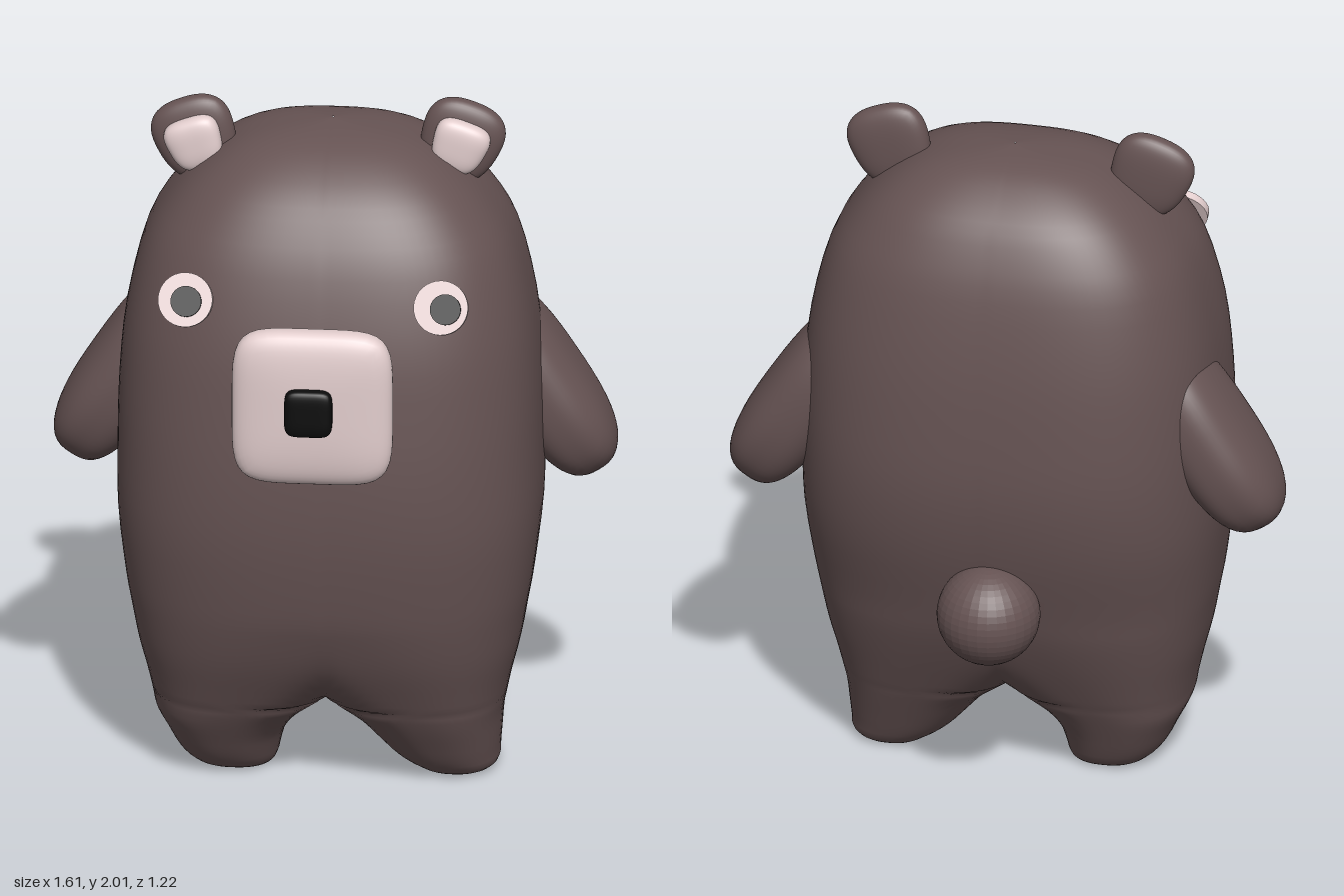
import * as THREE from 'three';
import { mergeVertices } from 'three/addons/utils/BufferGeometryUtils.js';

const fur = new THREE.MeshStandardMaterial({ color: 0x665353 });
const tailFur = new THREE.MeshStandardMaterial({ color: 0x665353, flatShading: true });
const pink = new THREE.MeshStandardMaterial({ color: 0xe2cdcd });
const black = new THREE.MeshStandardMaterial({ color: 0x0c0c0c });

// Body levels: y, front z, back z, outer x and inner x of the +x half.
// Above the crotch the inner x is negative, so the two halves fuse at x = 0.
const upper = [
  [0.23, 0.30, -0.245, 0.505, 0], [0.3, 0.335, -0.28, 0.52, -0.1],
  [0.4, 0.385, -0.33, 0.545, -0.27], [0.5, 0.425, -0.375, 0.563, -0.43],
  [0.6, 0.455, -0.41, 0.58, -0.58], [0.8, 0.485, -0.47, 0.603, -0.603],
  [1.0, 0.49, -0.5, 0.605, -0.605], [1.2, 0.475, -0.495, 0.6, -0.6],
  [1.4, 0.448, -0.475, 0.58, -0.58], [1.6, 0.39, -0.435, 0.53, -0.53],
  [1.72, 0.33, -0.39, 0.46, -0.46], [1.81, 0.26, -0.335, 0.375, -0.375],
  [1.88, 0.16, -0.25, 0.27, -0.27], [1.915, 0.06, -0.17, 0.15, -0.15],
  [1.93, -0.055, -0.06, 0.002, -0.002],
];
const depths = [[0, 0.012, 0.01], [0, 0.12, -0.1], [0.02, 0.165, -0.135],
  [0.06, 0.2, -0.16], [0.12, 0.237, -0.19], [0.18, 0.273, -0.22]];
const leftLeg = [[0.37, 0.366], [0.44, 0.28], [0.48, 0.235], [0.485, 0.18], [0.49, 0.125], [0.495, 0.07]];
const rightLeg = [[0.26, 0.256], [0.36, 0.17], [0.40, 0.15], [0.435, 0.14], [0.465, 0.12], [0.495, 0.07]];

function smoothRows(rows, sub) {
  const out = [];
  const at = k => rows[Math.min(Math.max(k, 0), rows.length - 1)];
  for (let k = 0; k < rows.length - 1; k++) {
    for (let j = 0; j < sub; j++) {
      const t = j / sub;
      out.push(at(k).map((b, c) => {
        const a = at(k - 1)[c], d = at(k + 1)[c], e = at(k + 2)[c];
        return b + 0.5 * t * (d - a + t * (2 * a - 5 * b + 4 * d - e + t * (3 * (b - d) + e - a)));
      }));
    }
  }
  out.push(rows[rows.length - 1]);
  return out;
}

function bodyGeometry() {
  const pos = [], idx = [], cols = 56;
  for (const [side, leg] of [[1, leftLeg], [-1, rightLeg]]) {
    const rows = smoothRows([...depths.map((r, i) => [...r, ...leg[i]]), ...upper], 3);
    const base = pos.length / 3;
    rows.forEach(([y, zf, zb, xo, xi], r) => {
      const n = 2.4 + 0.4 * Math.min(1, y / 0.6);
      const cx = (xo + xi) / 2, w = (xo - xi) / 2, cz = (zf + zb) / 2, d = (zf - zb) / 2;
      const q = Math.min(1, cx / w);
      // sweep only as far as the plane x = 0 where the halves are fused
      const end = Math.atan2(Math.pow(1 - Math.pow(Math.abs(q), n), 1 / n), -q);
      for (let i = 0; i <= cols; i++) {
        const a = end * (2 * i / cols - 1), c = Math.cos(a), s = Math.sin(a);
        const k = Math.pow(Math.abs(c) ** n + Math.abs(s) ** n, -1 / n);
        let x = cx + w * k * c;
        if (Math.abs(x) < 1e-5) x = 0;
        pos.push(side * x, Math.max(0, y), cz + d * k * s);
        if (r < rows.length - 1 && i < cols) {
          const p = base + r * (cols + 1) + i, u = p + cols + 1;
          if (side > 0) idx.push(p, u, p + 1, p + 1, u, u + 1);
          else idx.push(p, p + 1, u, p + 1, u + 1, u);
        }
      }
    });
  }
  const g = new THREE.BufferGeometry();
  g.setAttribute('position', new THREE.Float32BufferAttribute(pos, 3));
  g.setIndex(idx);
  const merged = mergeVertices(g, 1e-4);
  merged.computeVertexNormals();
  return merged;
}

// Rounded pad: n squares off the front outline, m the thickness, taper widens the top
function pad(w, h, d, n, m, taper = 0) {
  const g0 = new THREE.BoxGeometry(2, 2, 2, 14, 14, 14);
  g0.deleteAttribute('uv');
  g0.deleteAttribute('normal');
  const g = mergeVertices(g0), p = g.attributes.position, v = new THREE.Vector3();
  for (let i = 0; i < p.count; i++) {
    v.fromBufferAttribute(p, i);
    const f = (Math.abs(v.x) ** n + Math.abs(v.y) ** n) ** (m / n) + Math.abs(v.z) ** m;
    v.multiplyScalar(f ** (-1 / m));
    p.setXYZ(i, v.x * w / 2 * (1 + taper * v.y), v.y * h / 2, v.z * d / 2);
  }
  g.computeVertexNormals();
  return g;
}

export function createModel() {
  const model = new THREE.Group();
  const add = (name, geo, mat, x, y, z, parent = model) => {
    const mesh = new THREE.Mesh(geo, mat);
    mesh.name = name;
    mesh.position.set(x, y, z);
    parent.add(mesh);
    return mesh;
  };

  add('body', bodyGeometry(), fur, 0, 0, 0);

  // Muzzle, nose and tail
  add('muzzle', pad(0.46, 0.465, 0.13, 5, 3), pink, -0.01, 1.268, 0.513);
  add('nose', pad(0.137, 0.14, 0.06, 5, 5), black, -0.016, 1.275, 0.58);
  add('tail', new THREE.SphereGeometry(0.148, 32, 24), tailFur, -0.015, 0.63, -0.463);

  // Eyes: thin discs leaning back with the face
  const disc = (r, t) => new THREE.CylinderGeometry(r, r, t, 32).rotateX(Math.PI / 2);
  for (const [name, x, px] of [['leftEye', 0.347, 0.014], ['rightEye', -0.383, 0.003]]) {
    const eye = new THREE.Group();
    eye.name = name;
    eye.position.set(x, 1.535, 0.395);
    eye.rotation.x = -0.42;
    model.add(eye);
    add('eyeWhite', disc(0.078, 0.024), pink, 0, 0, 0, eye);
    add('pupil', disc(0.044, 0.024), black, px, -0.005, 0.012, eye);
  }

  // Ears with pale inner pads
  for (const [name, s, x, y] of [['leftEar', 1, 0.365, 1.875], ['rightEar', -1, -0.39, 1.86]]) {
    const ear = new THREE.Group();
    ear.name = name;
    ear.position.set(x, y, -0.04);
    ear.rotation.z = -0.35 * s;
    model.add(ear);
    add('earShell', pad(0.23, 0.25, 0.09, 2.5, 2.6, 0.15), fur, 0, 0, 0, ear);
    add('innerEar', pad(0.155, 0.155, 0.08, 3, 3, 0.15), pink, 0, 0, 0.043, ear);
  }

  // Arms hanging out from the sides
  for (const [name, s] of [['leftArm', 1], ['rightArm', -1]]) {
    const arm = add(name, pad(0.25, 0.63, 0.33, 2.8, 2.5), fur, s * 0.585, 1.115, -0.148);
    arm.rotation.z = s * 0.58;
  }
  return model;
}
